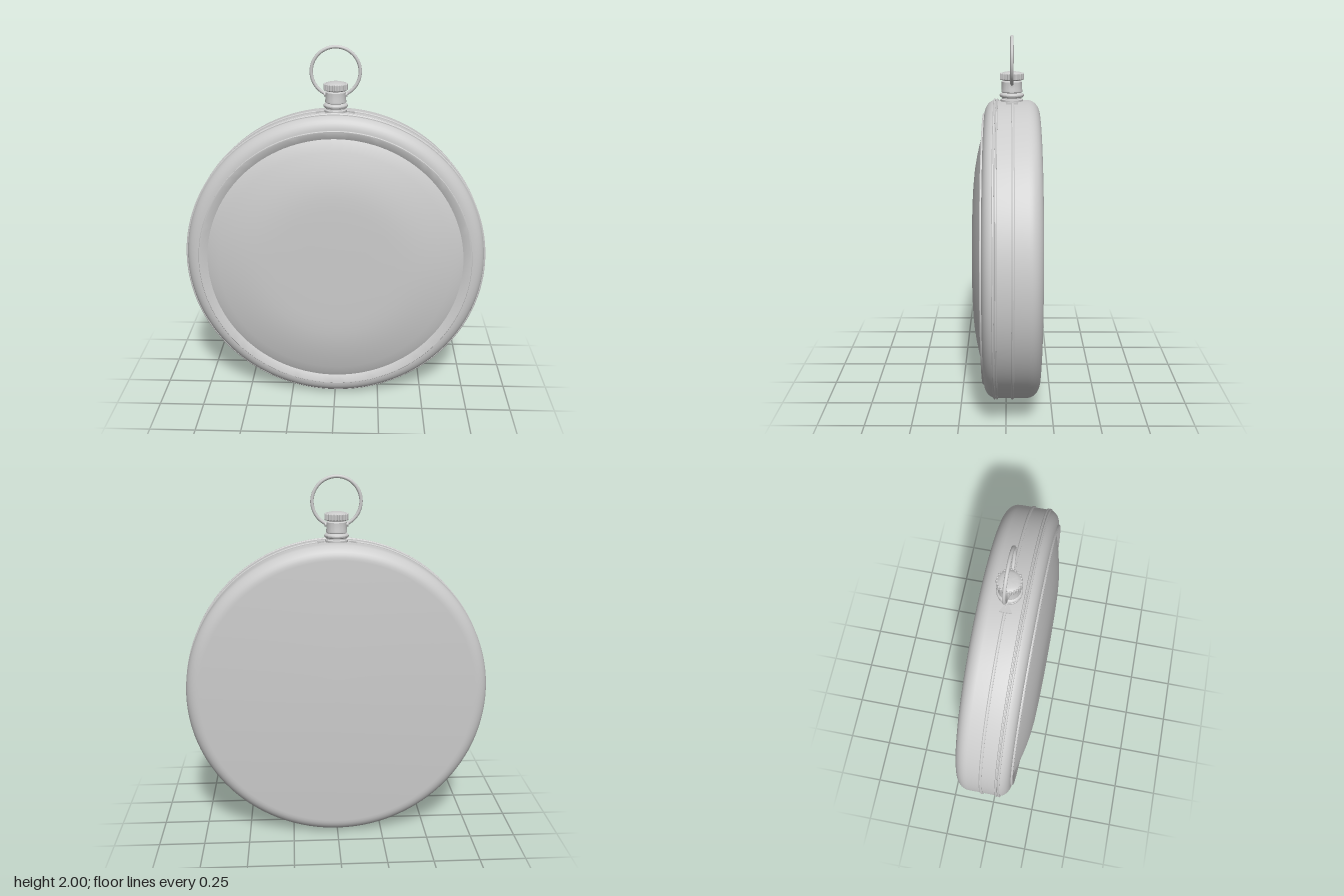
import * as THREE from 'three';
import { toCreasedNormals } from 'three/addons/utils/BufferGeometryUtils.js';

const CY = 0.832;      // height of the case centre
const STEM_Z = -0.03;  // depth of stem, crown and bow

export function createModel() {
  const group = new THREE.Group();
  const mat = new THREE.MeshStandardMaterial({ color: 0xcccccc });

  const add = (name, geo, x = 0, y = 0, z = 0, parent = group) => {
    const mesh = new THREE.Mesh(geo, mat);
    mesh.name = name;
    mesh.position.set(x, y, z);
    parent.add(mesh);
    return mesh;
  };
  const lathe = (pts, segments) =>
    toCreasedNormals(new THREE.LatheGeometry(pts.map(p => new THREE.Vector2(...p)), segments), 0.6);
  // Lathe about the front-back axis: points are [radius, z], listed back to front
  const disc = pts => lathe(pts, 128).rotateX(Math.PI / 2);
  // Quarter-ellipse corner, centred at (r, z)
  const corner = (r, z, rr, rz, from, to, n = 8) =>
    Array.from({ length: n + 1 }, (_, i) => {
      const a = from + (to - from) * i / n;
      return [r + rr * Math.cos(a), z + rz * Math.sin(a)];
    });

  // Case with rounded back and front edges
  add('case', disc([
    [0, -0.18],
    ...corner(0.748, -0.11, 0.075, 0.07, -Math.PI / 2, 0),
    ...corner(0.748, 0.055, 0.075, 0.062, 0, Math.PI / 2),
    [0.735, 0.117], [0.735, 0.09], [0, 0.09],
  ]), 0, CY);

  // Bezel sloping in towards the glass
  add('bezel', disc([
    [0.752, 0.1], [0.752, 0.122], [0.749, 0.126], [0.742, 0.126], [0.704, 0.106], [0.7, 0.09],
  ]), 0, CY);

  // Domed glass, nearly flat in the middle
  add('glass', disc([
    [0.706, 0.106], [0.68, 0.118], [0.64, 0.13], [0.58, 0.146], [0.52, 0.159],
    [0.46, 0.169], [0.4, 0.175], [0.33, 0.178], [0.2, 0.179], [0, 0.18],
  ]), 0, CY);

  // Raised hinge and lid seams round the side
  for (const [z, w] of [[-0.034, 0.008], [0.048, 0.005], [0.062, 0.006]]) {
    add('seamBand', disc([
      [0.815, z - w], [0.826, z - w], [0.83, z - w * 0.4],
      [0.83, z + w * 0.4], [0.826, z + w], [0.815, z + w],
    ]), 0, CY);
  }

  // Flared ends of the middle seam beside the stem
  const flare = new THREE.Shape([[0.06, -0.008], [0.102, -0.032], [0.102, 0.032], [0.06, 0.008]]
    .map(p => new THREE.Vector2(...p)));
  for (const side of [0, Math.PI]) {
    const geo = new THREE.ExtrudeGeometry(flare, { depth: 0.014, bevelEnabled: false });
    add('seamFlare', geo.rotateX(-Math.PI / 2).rotateY(side), 0, 1.644, STEM_Z);
  }

  // Stem with a foot and two collars
  add('stem', lathe([
    [0.06, 1.635], [0.06, 1.664], [0.052, 1.668], [0.052, 1.674],
    ...corner(0.054, 1.686, 0.011, 0.011, -Math.PI / 2, Math.PI / 2, 6),
    [0.05, 1.7], [0.056, 1.704], [0.056, 1.712], [0.054, 1.72],
    [0.054, 1.757], [0.046, 1.763], [0.046, 1.775],
  ], 48), 0, 0, STEM_Z);

  // Winding crown: domed core with ribs round its rim
  const crown = new THREE.Group();
  crown.name = 'crown';
  crown.position.set(0, 1.765, STEM_Z);
  group.add(crown);
  add('crownCore', lathe([
    [0, 0], [0.052, 0], [0.058, 0.006], [0.058, 0.034],
    [0.052, 0.039], [0.04, 0.043], [0.02, 0.046], [0, 0.047],
  ], 48), 0, 0, 0, crown);
  const rib = new THREE.CapsuleGeometry(0.006, 0.025, 3, 8);
  for (let i = 0; i < 22; i++) {
    const a = i / 22 * Math.PI * 2;
    add('crownRib', rib, 0.058 * Math.cos(a), 0.02, 0.058 * Math.sin(a), crown);
  }

  // Bow: open ring whose ends meet the sides of the stem
  const gap = 0.36;
  add('bow', new THREE.TorusGeometry(0.128, 0.009, 12, 72, Math.PI * 2 - 2 * gap)
    .rotateZ(-Math.PI / 2 + gap), 0, 1.863, STEM_Z);
  // Pivot pin through the stem
  add('bowPin', new THREE.CylinderGeometry(0.012, 0.012, 0.124, 16).rotateZ(Math.PI / 2), 0, 1.744, STEM_Z);

  return group;
}
